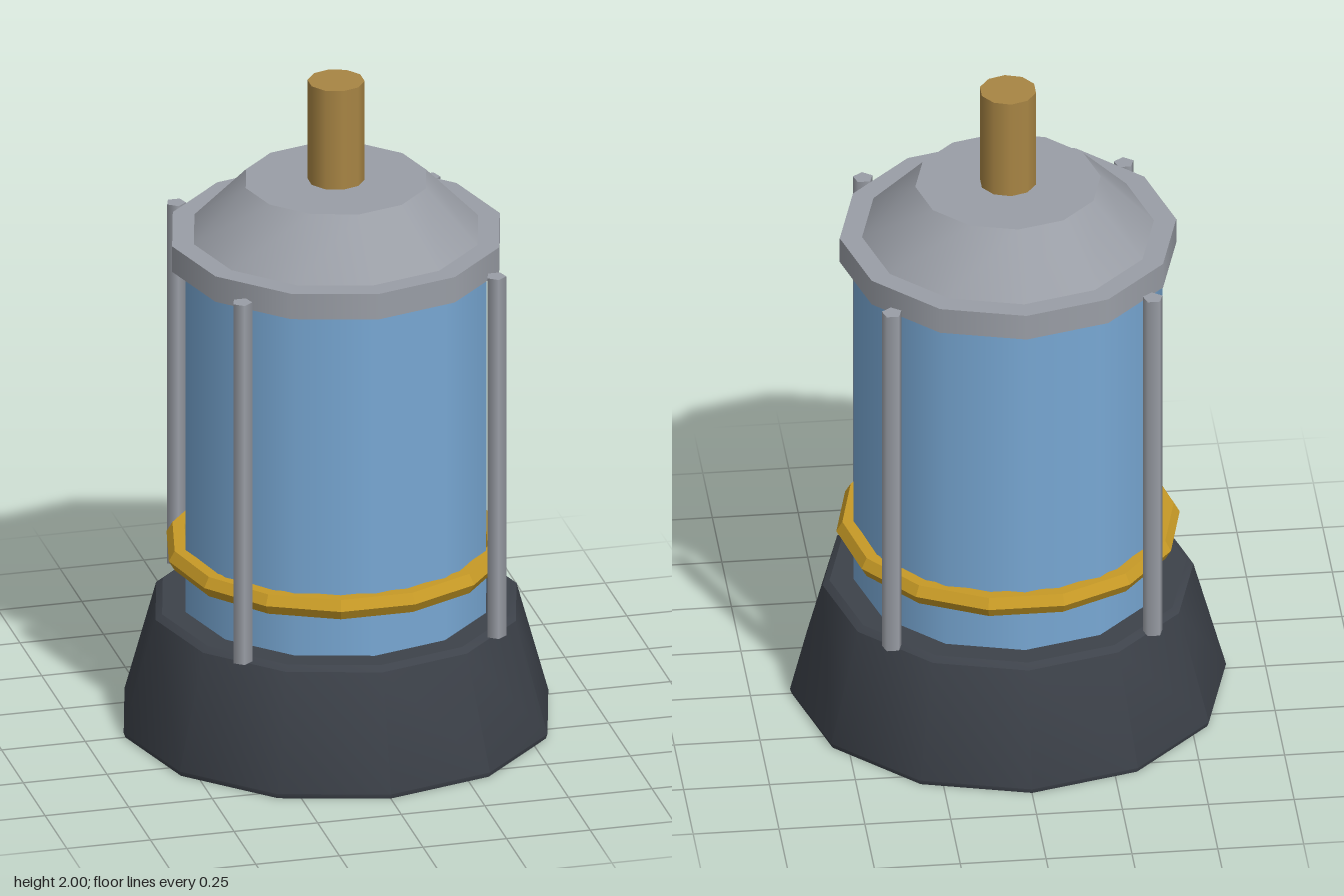
import * as THREE from 'three';
import { toCreasedNormals } from 'three/addons/utils/BufferGeometryUtils.js';

const mat = (color, flatShading = false) => new THREE.MeshStandardMaterial({ color, flatShading });

export function createModel() {
  const group = new THREE.Group();
  const dark = mat(0x3d424a);
  const steel = mat(0x9a9ea6);
  const blue = mat(0x78a8d4);
  const gold = mat(0xc79a26, true);
  const brass = mat(0xa88544);

  const add = (name, geometry, material, x = 0, y = 0, z = 0) => {
    const mesh = new THREE.Mesh(geometry, material);
    mesh.name = name;
    mesh.position.set(x, y, z);
    group.add(mesh);
    return mesh;
  };
  // Twelve-sided turned solid; sides stay smooth, rims stay sharp
  const turned = (points) => toCreasedNormals(
    new THREE.LatheGeometry(points.map(([r, y]) => new THREE.Vector2(r, y)), 12), 0.6);

  // Flared base with small bevels
  add('base', turned([[0, 0], [0.63, 0], [0.635, 0.015], [0.54, 0.36], [0.52, 0.375], [0, 0.375]]), dark);

  // Cylindrical body
  add('body', new THREE.CylinderGeometry(0.45, 0.45, 1.12, 12), blue, 0, 0.92, 0);

  // Cap: rim and sloping shoulder
  add('capRim', new THREE.CylinderGeometry(0.49, 0.49, 0.08, 12), steel, 0, 1.49, 0);
  add('capShoulder', new THREE.CylinderGeometry(0.27, 0.425, 0.16, 12), steel, 0, 1.61, 0);

  // Shaft on top
  add('shaft', new THREE.CylinderGeometry(0.083, 0.083, 0.32, 10), brass, 0, 1.84, 0);

  // Gold band around the body
  const band = add('band', new THREE.TorusGeometry(0.465, 0.035, 6, 14), gold, 0, 0.54, 0);
  band.rotation.x = Math.PI / 2;

  // Four upright rods
  const rod = new THREE.CylinderGeometry(0.03, 0.03, 1.13, 5);
  for (const [sx, side] of [[1, 'Left'], [-1, 'Right']]) {
    for (const [sz, end] of [[1, 'front'], [-1, 'back']]) {
      add(`${end}${side}Rod`, rod, steel, sx * 0.38, 0.935, sz * 0.38);
    }
  }
  return group;
}
